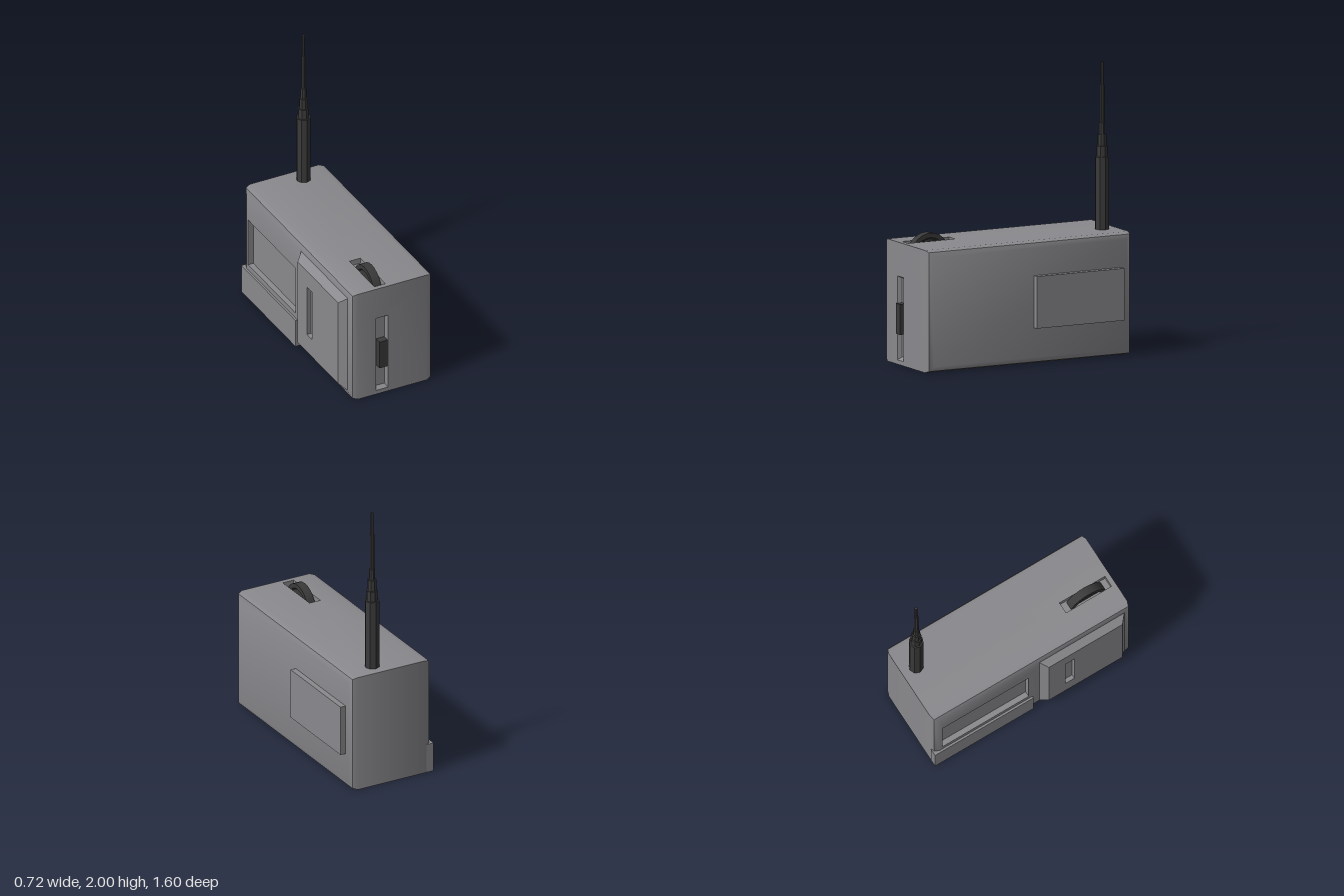
import * as THREE from 'three';
import { mergeGeometries, toCreasedNormals } from 'three/addons/utils/BufferGeometryUtils.js';

// Joins rectangular rings [u0, u1, v0, v1, depth] in order and caps the last one; +z is outward.
function tiers(rings, cap = true) {
  const corners = rings.map(([u0, u1, v0, v1, d]) => [[u0, v0, d], [u1, v0, d], [u1, v1, d], [u0, v1, d]]);
  const pos = [];
  const quad = (a, b, c, d) => pos.push(...a, ...b, ...c, ...a, ...c, ...d);
  for (let r = 0; r < corners.length - 1; r++) {
    const a = corners[r], b = corners[r + 1];
    for (let i = 0; i < 4; i++) {
      const j = (i + 1) % 4;
      quad(a[i], a[j], b[j], b[i]);
    }
  }
  if (cap) quad(...corners[corners.length - 1]);
  const geo = new THREE.BufferGeometry();
  geo.setAttribute('position', new THREE.Float32BufferAttribute(pos, 3));
  return geo;
}

export function createModel() {
  const group = new THREE.Group();
  const casing = new THREE.MeshStandardMaterial({ color: 0x8a898d });
  casing.name = 'casing grey';
  const dark = new THREE.MeshStandardMaterial({ color: 0x3a3a3b });
  dark.name = 'dark plastic';

  const add = (name, geo, mat, x = 0, y = 0, z = 0) => {
    const mesh = new THREE.Mesh(geo, mat);
    mesh.name = name;
    mesh.position.set(x, y, z);
    group.add(mesh);
    return mesh;
  };
  const box = (name, mat, x0, x1, y0, y1, z0, z1) =>
    add(name, new THREE.BoxGeometry(x1 - x0, y1 - y0, z1 - z0), mat,
      (x0 + x1) / 2, (y0 + y1) / 2, (z0 + z1) / 2);

  // Casing: four flat faces between two bevelled sides
  const H = 0.845, F = 0.78, B = 0.8, X0 = -0.26, X1 = 0.27;
  const front = tiers([
    [X0, X1, 0, H, F],
    [-0.12, -0.03, 0.03, 0.61, F],
    [-0.105, -0.04, 0.05, 0.595, F - 0.03],
  ]);
  const top = tiers([
    [X0, X1, -F, B, H],
    [-0.115, -0.03, -0.745, -0.38, H],
    [-0.115, -0.03, -0.745, -0.38, H - 0.04],
  ]).rotateX(-Math.PI / 2);
  const back = tiers([[-X1, -X0, 0, H, B]]).rotateY(Math.PI);
  const bottom = tiers([[X0, X1, -B, F, 0]]).rotateX(Math.PI / 2);

  // Rounded edge towards a side: [distance from end face, inset]
  const bevel = [[0.05, 0], [0.015, 0.012], [0, 0.045]];
  const side = (z0, z1, end) =>
    bevel.map(([d, s]) => [z0 + s, z1 - s, s, H - s, end - d]);
  const leftSide = tiers(side(-F, B, 0.32)).rotateY(Math.PI / 2);
  const rightSide = tiers([
    ...side(-B, F, 0.31),
    [-0.73, -0.04, 0.25, 0.61, 0.31],
    [-0.73, -0.04, 0.25, 0.61, 0.27],
  ]).rotateY(-Math.PI / 2);
  add('casing', toCreasedNormals(
    mergeGeometries([front, top, back, bottom, leftSide, rightSide]), 0.6), casing);

  // Raised plates on the sides
  box('leftPlate', casing, 0.31, 0.36, 0.25, 0.61, -0.72, -0.04);
  box('rightLowerLedge', casing, -0.325, -0.27, 0, 0.21, -0.8, -0.01);

  // Chamfered cover with an upright slot
  const cover = tiers([
    [0.04, 0.73, 0.05, 0.8, 0.305],
    [0.09, 0.68, 0.1, 0.75, 0.36],
    [0.225, 0.295, 0.24, 0.62, 0.36],
    [0.225, 0.295, 0.24, 0.62, 0.33],
  ]).rotateY(-Math.PI / 2);
  add('rightCover', toCreasedNormals(cover, 0.3), casing);

  // Slider in the front slot
  box('slider', dark, -0.105, -0.042, 0.215, 0.425, 0.74, 0.8);

  // Thumb wheel with a raised rim
  const half = [[0.105, 0.02], [0.115, 0.03], [0.147, 0.03]];
  const profile = [[0, 0.02], ...half, ...half.map(([r, h]) => [r, -h]).reverse(), [0, -0.02]]
    .reverse().map(([r, h]) => new THREE.Vector2(r, h));
  const wheel = toCreasedNormals(new THREE.LatheGeometry(profile, 24).rotateZ(Math.PI / 2), 0.5);
  add('thumbWheel', wheel, dark, -0.071, 0.753, 0.567);

  // Stepped antenna: [radius, bottom, top]
  const antenna = new THREE.Group();
  antenna.name = 'antenna';
  antenna.position.set(0.095, 0, -0.69);
  group.add(antenna);
  [
    [0.051, 0.82, 1.345], [0.04, 1.345, 1.42], [0.031, 1.42, 1.5],
    [0.022, 1.5, 1.58], [0.016, 1.58, 1.84], [0.011, 1.84, 2],
  ].forEach(([r, y0, y1], i) => {
    const geo = toCreasedNormals(new THREE.CylinderGeometry(r, r, y1 - y0, 8), 0.5);
    const section = new THREE.Mesh(geo, dark);
    section.name = `antennaSection${i + 1}`;
    section.position.y = (y0 + y1) / 2;
    antenna.add(section);
  });

  return group;
}
